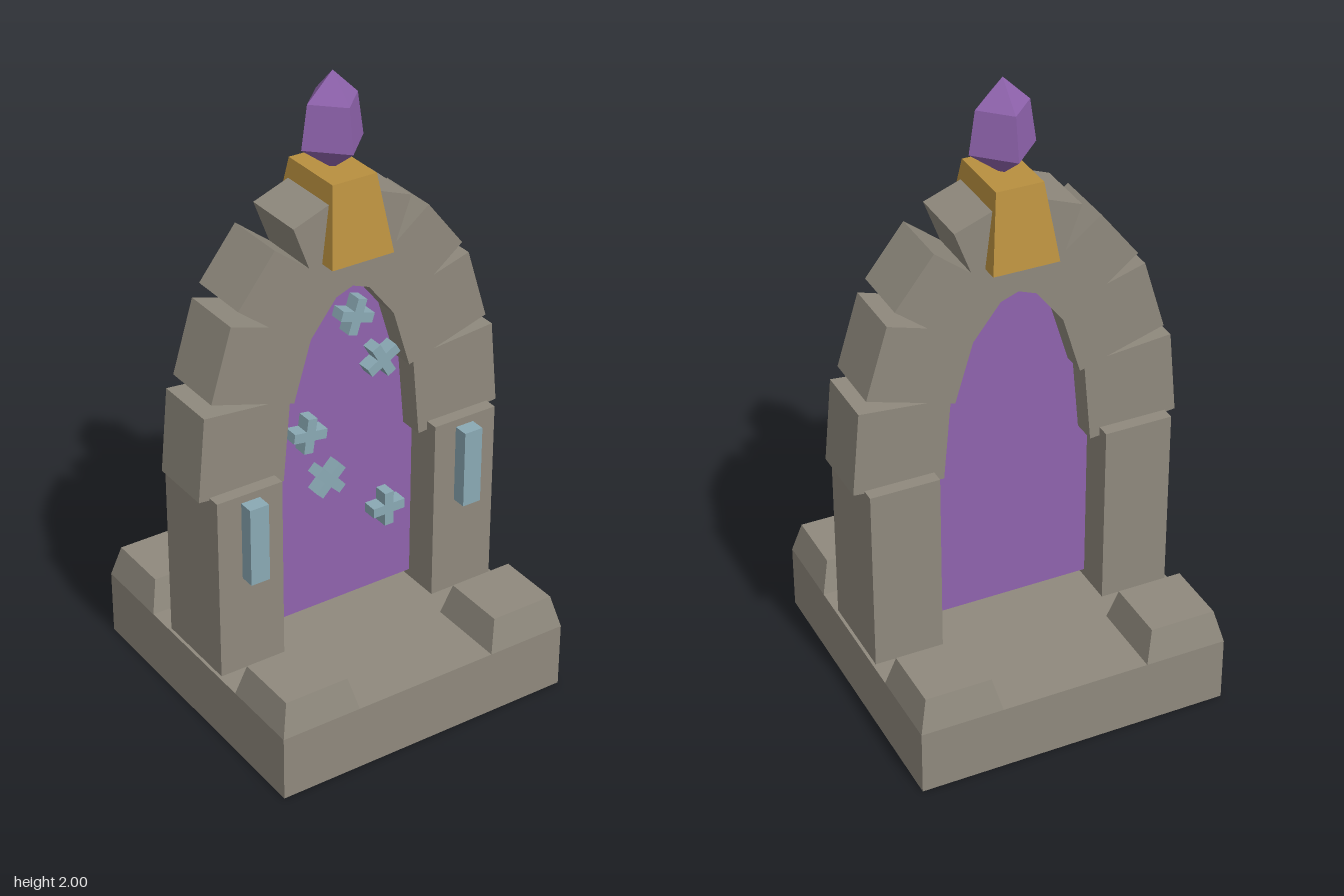
import * as THREE from 'three';

const mat = (name, color) => {
  const m = new THREE.MeshStandardMaterial({ color, flatShading: true });
  m.name = name;
  return m;
};

// Box standing on its base, with its top face scaled in x and z
function taperedBox(w, h, d, topX, topZ) {
  const g = new THREE.BoxGeometry(w, h, d).translate(0, h / 2, 0);
  const p = g.attributes.position;
  for (let i = 0; i < p.count; i++) {
    if (p.getY(i) > h / 2) p.setXYZ(i, p.getX(i) * topX, h, p.getZ(i) * topZ);
  }
  g.computeVertexNormals();
  return g;
}

export function createModel() {
  const root = new THREE.Group();
  root.name = 'stonePortal';
  const stone = mat('stone', 0x8f897d);
  const gold = mat('gold', 0xb88f3f);
  const purple = mat('purple', 0x8f63ad);
  const rune = mat('paleBlue', 0x8aa9b4);

  const add = (name, geo, material, x = 0, y = 0, z = 0, parent = root) => {
    const m = new THREE.Mesh(geo, material);
    m.name = name;
    m.position.set(x, y, z);
    parent.add(m);
    return m;
  };

  // Plinth
  add('base', new THREE.BoxGeometry(1.01, 0.215, 1.01), stone, 0, 0.1075, 0);

  // Arch stones: outer edge start and end on the +x side
  const arch = [
    [0.53, 0.82, 0.505, 1.092],
    [0.48, 1.13, 0.41, 1.36],
    [0.385, 1.4, 0.262, 1.557],
    [0.2, 1.605, 0.08, 1.65],
  ];
  const depth = 0.29;

  for (const s of [1, -1]) {
    const side = s > 0 ? 'left' : 'right';
    // Corner blocks of the plinth
    for (const t of [1, -1]) {
      add(side + (t > 0 ? 'Front' : 'Back') + 'CornerBlock',
        taperedBox(0.265, 0.105, 0.265, 0.8, 0.8), stone, s * 0.3725, 0.215, t * 0.3725);
    }
    // Pillar with its inlaid strip
    add(side + 'Pillar', new THREE.BoxGeometry(0.222, 0.61, 0.294), stone, s * 0.384, 0.52, 0);
    add(side + 'PillarStrip', new THREE.BoxGeometry(0.064, 0.26, 0.055), rune, s * 0.382, 0.67, 0.168);
    // Arch stones, each turned to follow the curve
    arch.forEach(([x0, y0, x1, y1], i) => {
      const len = Math.hypot(x1 - x0, y1 - y0);
      const tx = (x1 - x0) / len, ty = (y1 - y0) / len;
      const cx = (x0 + x1) / 2 - ty * depth / 2;
      const cy = (y0 + y1) / 2 + tx * depth / 2;
      const m = add(side + 'ArchStone' + (i + 1),
        new THREE.BoxGeometry(depth, len, 0.21), stone, s * cx, cy, 0);
      m.rotation.z = s * Math.atan2(-tx, ty);
    });
  }

  // Glowing slab that fills the opening
  const half = [[0.3, 0.24], [0.3, 0.82], [0.24, 1.06], [0.16, 1.28], [0.07, 1.39]];
  const outline = [...half, ...half.map(([x, y]) => [-x, y]).reverse()];
  const slab = new THREE.ExtrudeGeometry(
    new THREE.Shape(outline.map(([x, y]) => new THREE.Vector2(x, y))),
    { depth: 0.05, bevelEnabled: false });
  add('portalSlab', slab, purple, 0, 0, -0.025);

  // Crossed runes on the front of the slab: x, y, turn in degrees
  const runes = [
    [0.04, 1.24, -18], [0.135, 1.065, 30], [-0.125, 0.89, -8],
    [-0.053, 0.71, 45], [0.16, 0.535, 0],
  ];
  runes.forEach(([x, y, turn], i) => {
    const g = new THREE.Group();
    g.name = 'rune' + (i + 1);
    g.position.set(x, y, 0.048);
    g.rotation.z = THREE.MathUtils.degToRad(turn);
    root.add(g);
    add('runeBar', new THREE.BoxGeometry(0.115, 0.032, 0.05), rune, 0, 0, 0, g);
    // Upright bar in two halves so no faces overlap
    for (const t of [1, -1]) {
      add('runeArm', new THREE.BoxGeometry(0.032, 0.0415, 0.05), rune, 0, t * 0.03675, 0, g);
    }
  });

  // Keystone and crystal finial
  add('keystone', taperedBox(0.21, 0.24, 0.316, 0.71, 0.71), gold, 0, 1.47, 0);
  const profile = [[0, 1.7], [0.105, 1.78], [0.085, 1.915], [0, 2]];
  add('crystal', new THREE.LatheGeometry(
    profile.map(([r, y]) => new THREE.Vector2(r, y)), 4), purple);

  return root;
}
